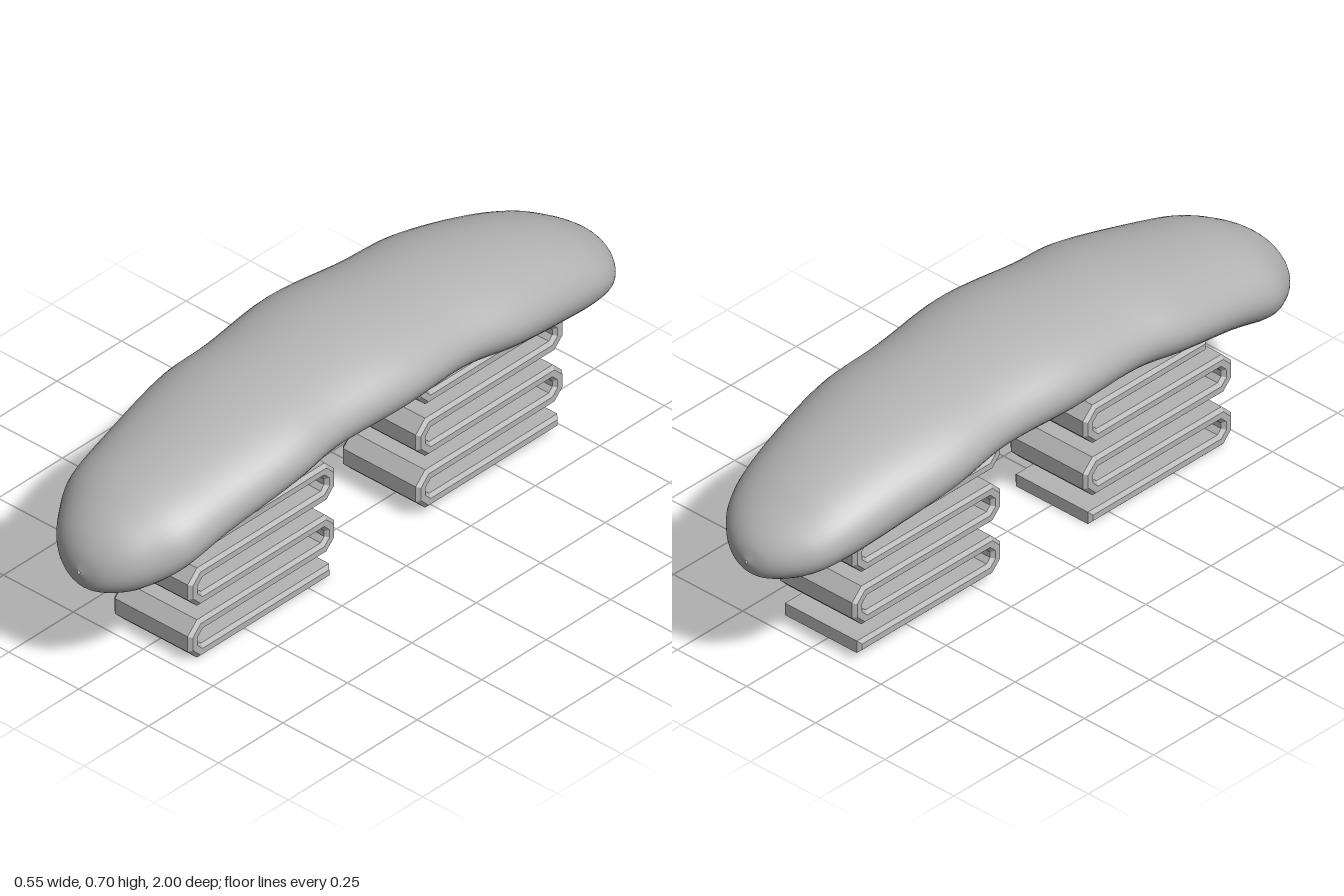
import * as THREE from 'three';

const grey = new THREE.MeshStandardMaterial({ color: 0xb4b4b4 });
grey.name = 'plain grey';

// Arched body stations: z, top y, bottom y, half width
const stations = [
  [-1, 0.4, 0.39, 0.004], [-0.985, 0.445, 0.352, 0.065], [-0.95, 0.485, 0.335, 0.12], [-0.89, 0.527, 0.328, 0.172],
  [-0.8, 0.575, 0.335, 0.207], [-0.65, 0.627, 0.358, 0.236], [-0.45, 0.668, 0.395, 0.262], [-0.25, 0.687, 0.43, 0.255],
  [0, 0.705, 0.435, 0.274], [0.25, 0.688, 0.428, 0.257], [0.42, 0.669, 0.403, 0.265], [0.65, 0.617, 0.355, 0.241],
  [0.8, 0.575, 0.31, 0.222], [0.89, 0.532, 0.29, 0.175], [0.95, 0.485, 0.3, 0.125], [0.985, 0.435, 0.322, 0.068], [1, 0.38, 0.37, 0.004],
];

function bodyGeometry(rings = 110, sides = 48) {
  const mids = new THREE.CatmullRomCurve3(
    stations.map(([z, t, b]) => new THREE.Vector3(z, t, b)), false, 'catmullrom', 0.5);
  const widths = new THREE.CatmullRomCurve3(
    stations.map(([z, , , w]) => new THREE.Vector3(z, w, 0)), false, 'catmullrom', 0.5);
  const position = [], index = [];
  for (let i = 0; i <= rings; i++) {
    const { x: z, y: top, z: bottom } = mids.getPoint(i / rings);
    const w = widths.getPoint(i / rings).y;
    for (let j = 0; j < sides; j++) {
      const a = (j / sides) * Math.PI * 2;
      position.push(w * Math.cos(a), (top + bottom) / 2 + ((top - bottom) / 2) * Math.sin(a), z);
      if (i === rings) continue;
      const p = i * sides + j, q = i * sides + ((j + 1) % sides);
      index.push(p, q, p + sides, q, q + sides, p + sides);
    }
  }
  const geo = new THREE.BufferGeometry();
  geo.setAttribute('position', new THREE.Float32BufferAttribute(position, 3));
  geo.setIndex(index);
  geo.computeVertexNormals();
  return geo;
}

// Folded strip: bars alternate between two z limits, with cut corners, extruded across x
function springGeometry({ y0, start, far, end, bars }) {
  const pitch = 0.083, half = 0.019, cut = 0.025, bevel = 0.01;
  const corners = [new THREE.Vector2(start, y0)];
  for (let i = 0; i < bars; i++) {
    const last = i === bars - 1;
    const stop = last ? end : i % 2 === 0 ? far : start;
    corners.push(new THREE.Vector2(stop, y0 + i * pitch));
    if (!last) corners.push(new THREE.Vector2(stop, y0 + (i + 1) * pitch));
  }
  // Replace each right-angle corner by two points
  const path = [];
  corners.forEach((p, i) => {
    if (i === 0 || i === corners.length - 1) return path.push(p);
    for (const n of [corners[i - 1], corners[i + 1]]) {
      path.push(p.clone().add(n.clone().sub(p).setLength(cut)));
    }
  });
  // Offset the centre line to both sides
  const left = [], right = [];
  path.forEach((p, i) => {
    const a = p.clone().sub(path[i - 1] ?? p).normalize();
    const b = (path[i + 1] ?? p).clone().sub(p).normalize();
    if (i === 0) a.copy(b);
    if (i === path.length - 1) b.copy(a);
    const n = new THREE.Vector2(-a.y - b.y, a.x + b.x).normalize();
    const miter = half / (n.x * -a.y + n.y * a.x);
    left.push(p.clone().addScaledVector(n, miter));
    right.unshift(p.clone().addScaledVector(n, -miter));
  });
  const depth = 0.28 - 2 * bevel;
  const geo = new THREE.ExtrudeGeometry(new THREE.Shape([...left, ...right]), {
    depth, bevelEnabled: true, bevelSegments: 1, bevelSize: bevel, bevelThickness: bevel, bevelOffset: -bevel,
  });
  geo.translate(0, 0, -depth / 2);
  geo.rotateY(-Math.PI / 2);
  return geo;
}

export function createModel() {
  const group = new THREE.Group();
  const add = (name, geo) => {
    const mesh = new THREE.Mesh(geo, grey);
    mesh.name = name;
    group.add(mesh);
    return mesh;
  };

  add('archedBody', bodyGeometry());

  // Front spring ends inside the body; rear spring has one more fold
  add('frontSpring', springGeometry({ y0: 0.019, start: 0.17, far: 0.7, end: 0.62, bars: 5 }));
  add('rearSpring', springGeometry({ y0: 0.045, start: -0.715, far: -0.185, end: -0.4, bars: 6 }));

  // Soft bumps where the springs meet the body
  for (const [name, y, z] of [['frontMount', 0.4, 0.53], ['rearMount', 0.415, -0.45]]) {
    const bump = add(name, new THREE.SphereGeometry(1, 24, 16));
    bump.scale.set(0.12, 0.035, 0.09);
    bump.position.set(0, y, z);
  }
  return group;
}
